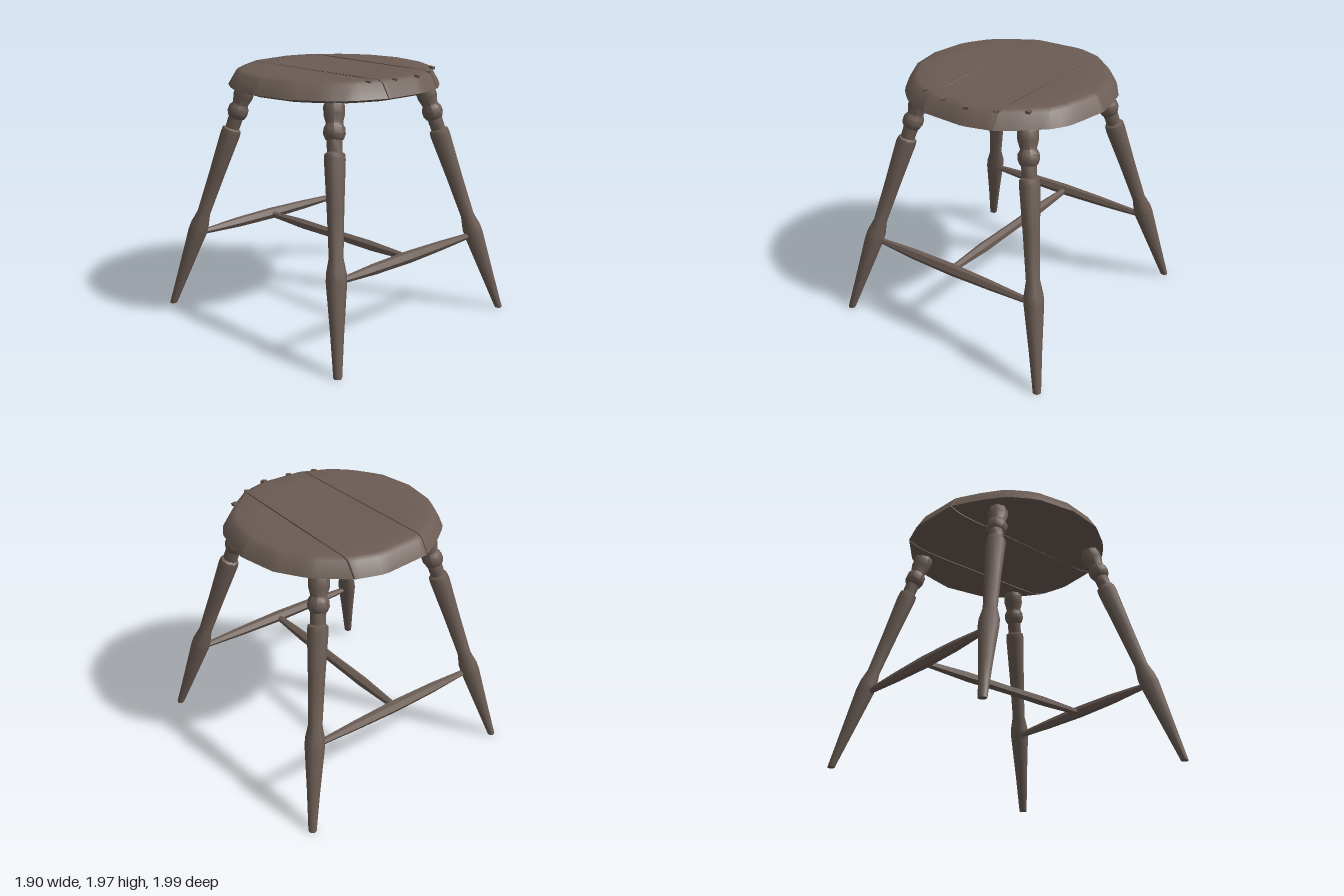
import * as THREE from 'three';
import { toCreasedNormals } from 'three/addons/utils/BufferGeometryUtils.js';

const UP = new THREE.Vector3(0, 1, 0);

// Faceted seat outline, front and back halves, from left end to right end as [x, z]
const FRONT = [[-0.81, 0], [-0.76, 0.3], [-0.61, 0.53], [-0.47, 0.66], [-0.22, 0.77], [0.14, 0.79],
  [0.36, 0.73], [0.52, 0.61], [0.68, 0.46], [0.75, 0.33], [0.81, 0]];
const BACK = [[-0.81, 0], [-0.76, -0.32], [-0.63, -0.53], [-0.45, -0.66], [-0.26, -0.77], [0.15, -0.8],
  [0.36, -0.73], [0.6, -0.53], [0.75, -0.3], [0.81, 0]];

// Seat profile from underside to top as [outline scale, height]
const RINGS = [[0.72, 1.8], [0.85, 1.805], [0.93, 1.82], [1, 1.842], [0.925, 1.948], [0.87, 1.965], [0.65, 1.96]];

function zAt(arc, x, s) {
  const q = THREE.MathUtils.clamp(x / s, -0.81, 0.81);
  let i = 1;
  while (i < arc.length - 1 && arc[i][0] < q) i++;
  const [a, b] = [arc[i - 1], arc[i]];
  return s * THREE.MathUtils.lerp(a[1], b[1], (q - a[0]) / (b[0] - a[0]));
}

// One seat plank between two slightly slanted seams, given as [x at front, x at back]
function plankGeometry(left, right) {
  const n = 16, m = 2 * (n + 1), pos = [], idx = [];
  for (const [s, y] of RINGS) {
    const edge = 0.81 * s;
    for (let k = 0; k < m; k++) {
      const front = k <= n, side = front ? 0 : 1;
      const t = (front ? k : m - 1 - k) / n;
      const x0 = Math.max(left[side], -edge), x1 = Math.min(right[side], edge);
      const x = THREE.MathUtils.lerp(x0, x1, 0.5 - 0.5 * Math.cos(Math.PI * t));
      pos.push(x, y, zAt(front ? FRONT : BACK, x, s));
    }
  }
  for (let r = 0; r < RINGS.length - 1; r++) {
    for (let k = 0; k < m; k++) {
      const a = r * m + k, b = r * m + (k + 1) % m;
      idx.push(a, b, b + m, a, b + m, a + m);
    }
  }
  const top = (RINGS.length - 1) * m;
  for (let k = 0; k < n; k++) {
    const a = k, b = k + 1, c = m - 2 - k, d = m - 1 - k;
    idx.push(top + a, top + b, top + c, top + a, top + c, top + d);
    idx.push(a, c, b, a, d, c);
  }
  const g = new THREE.BufferGeometry();
  g.setAttribute('position', new THREE.Float32BufferAttribute(pos, 3));
  g.setIndex(idx);
  return toCreasedNormals(g, 0.75);
}

// Turned spindle from a to b; profile is [fraction along, radius]
function spindleGeometry(a, b, profile, sides, floor = false) {
  const dir = b.clone().sub(a), len = dir.length();
  const pts = profile.map(([t, r]) => new THREE.Vector2(r, t * len));
  pts.unshift(new THREE.Vector2(0, pts[0].y));
  pts.push(new THREE.Vector2(0, pts[pts.length - 1].y));
  const g = new THREE.LatheGeometry(pts, sides);
  const q = new THREE.Quaternion().setFromUnitVectors(UP, dir.normalize());
  g.applyMatrix4(new THREE.Matrix4().compose(a, q, new THREE.Vector3(1, 1, 1)));
  // Cut the foot level with the ground
  if (floor) {
    const p = g.attributes.position;
    for (let i = 0; i < p.count; i++) if (p.getY(i) < 0.02) p.setY(i, 0);
  }
  return toCreasedNormals(g, 0.85);
}

export function createModel() {
  const model = new THREE.Group();
  model.name = 'stool';
  const wood = new THREE.MeshStandardMaterial({ color: 0x6b5c54 });
  wood.name = 'dark brown wood';
  const add = (name, geometry) => {
    const mesh = new THREE.Mesh(geometry, wood);
    mesh.name = name;
    model.add(mesh);
    return mesh;
  };

  // Seat of three planks with narrow gaps
  const gap = 0.004;
  add('rightSeatPlank', plankGeometry([-9, -9], [-0.222 - gap, -0.258 - gap]));
  add('middleSeatPlank', plankGeometry([-0.222 + gap, -0.258 + gap], [0.352 - gap, 0.364 - gap]));
  add('leftSeatPlank', plankGeometry([0.352 + gap, 0.364 + gap], [9, 9]));

  // Small pegs along the front rim
  for (const [x, z, turn] of [[-0.3, 0.645, 0.5], [-0.09, 0.7, 0.7], [0.13, 0.72, 0.4], [0.335, 0.65, 0.9], [0.52, 0.53, 0.1]]) {
    const peg = add('seatPeg', new THREE.BoxGeometry(0.036, 0.02, 0.036));
    peg.position.set(x, 1.957, z);
    peg.rotation.set(0.15, turn, -0.2 * x);
  }

  // Splayed turned legs, profile as [height, radius]
  const H = 1.85;
  const legProfile = [[0, 0.031], [0.3, 0.05], [0.62, 0.075], [0.68, 0.073], [0.78, 0.052], [1.1, 0.062],
    [1.43, 0.077], [1.47, 0.073], [1.48, 0.055], [1.56, 0.057], [1.565, 0.066], [1.6, 0.08], [1.64, 0.078],
    [1.67, 0.06], [1.73, 0.077], [1.79, 0.077], [1.85, 0.05]].map(([y, r]) => [y / H, r]);
  for (const sx of [-1, 1]) {
    for (const sz of [-1, 1]) {
      const foot = new THREE.Vector3(0.92 * sx, 0, 0.967 * sz);
      const head = new THREE.Vector3(0.475 * sx, H, 0.475 * sz);
      add((sz > 0 ? 'front' : 'back') + (sx > 0 ? 'Left' : 'Right') + 'Leg',
        spindleGeometry(foot, head, legProfile, 8, true));
    }
  }

  // Front and back stretchers joined by a middle one
  const bar = [[0, 0.02], [0.04, 0.024], [0.25, 0.041], [0.5, 0.047], [0.75, 0.038], [0.96, 0.025], [1, 0.022]];
  for (const sz of [-1, 1]) {
    add(sz > 0 ? 'frontStretcher' : 'backStretcher', spindleGeometry(
      new THREE.Vector3(-0.74, 0.612, 0.785 * sz), new THREE.Vector3(0.74, 0.612, 0.785 * sz), bar, 6));
  }
  const middle = [[0, 0.026], [0.25, 0.042], [0.5, 0.038], [0.75, 0.042], [1, 0.026]];
  add('middleStretcher', spindleGeometry(
    new THREE.Vector3(0, 0.607, -0.77), new THREE.Vector3(0, 0.607, 0.77), middle, 6));

  return model;
}
